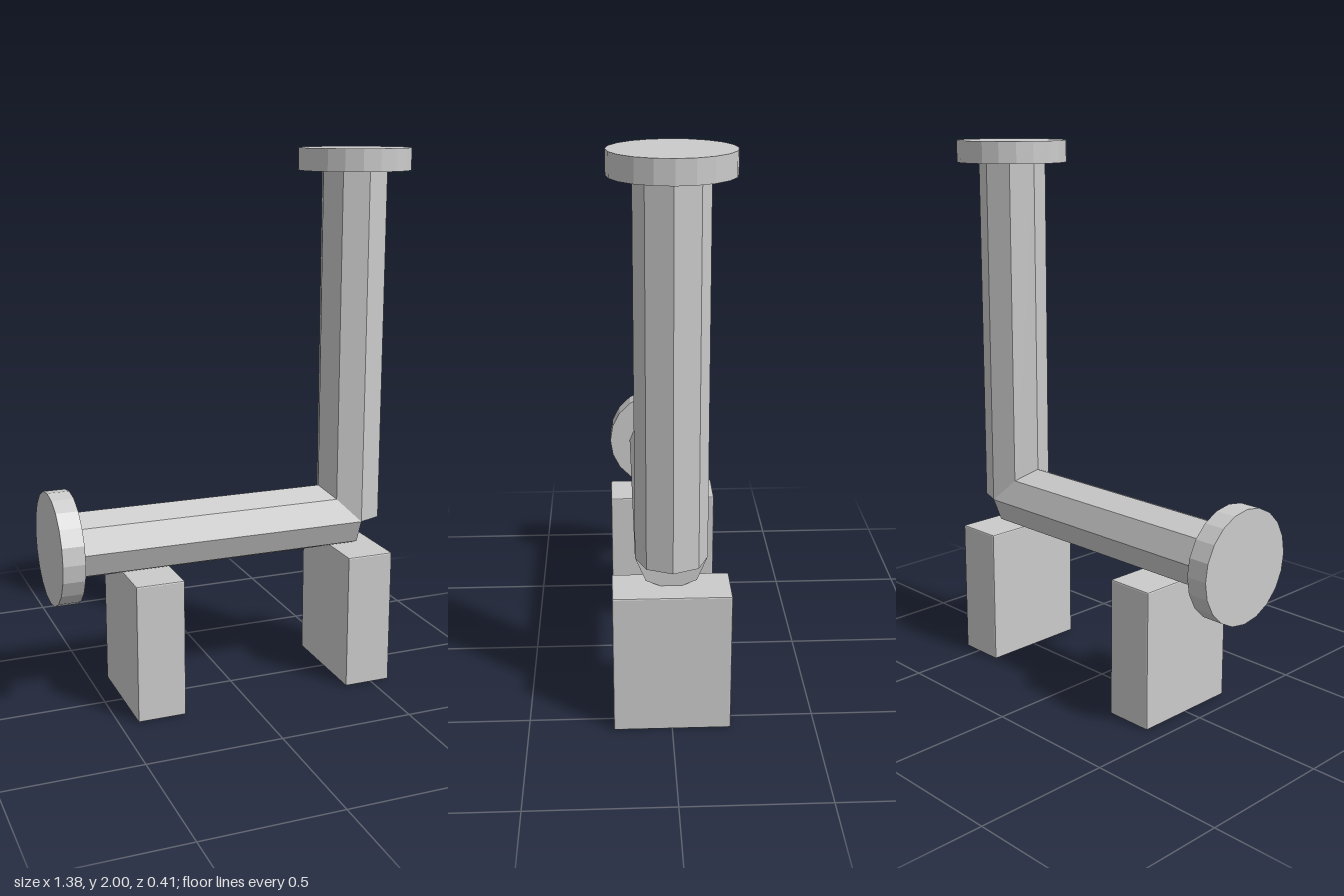
import * as THREE from 'three';
import { RoundedBoxGeometry } from 'three/addons/geometries/RoundedBoxGeometry.js';

export function createModel() {
  const model = new THREE.Group();
  model.name = 'elbowPipeOnSupports';
  const material = new THREE.MeshStandardMaterial({ color: 0xcccccc, flatShading: true });
  const axisY = 0.622, riserX = 0.482, flangeR = 0.205, flangeT = 0.08;

  const add = (name, geometry, x, y, z = 0) => {
    const mesh = new THREE.Mesh(geometry, material);
    mesh.name = name;
    mesh.position.set(x, y, z);
    model.add(mesh);
    return mesh;
  };

  // A pipe run with a flange on its far end, growing along +y from the elbow
  const addRun = (name, length, angle) => {
    const run = new THREE.Group();
    run.name = name;
    const pipe = new THREE.Mesh(new THREE.CylinderGeometry(0.124, 0.124, length, 8), material);
    pipe.name = name + 'Pipe';
    pipe.position.y = length / 2;
    const flange = new THREE.Mesh(new THREE.CylinderGeometry(flangeR, flangeR, flangeT, 20), material);
    flange.name = name + 'Flange';
    flange.position.y = length + flangeT / 2;
    run.add(pipe, flange);
    run.position.set(riserX, axisY, 0);
    run.rotation.z = angle;
    model.add(run);
  };

  addRun('riser', 2 - flangeT - axisY, 0);
  addRun('horizontal', riserX + 0.69 - flangeT, Math.PI / 2);

  // Support blocks with finely bevelled edges
  const block = new RoundedBoxGeometry(0.18, 0.514, 0.408, 1, 0.005);
  add('rightSupport', block, -0.343, 0.257);
  add('leftSupport', block, riserX, 0.257);

  return model;
}
